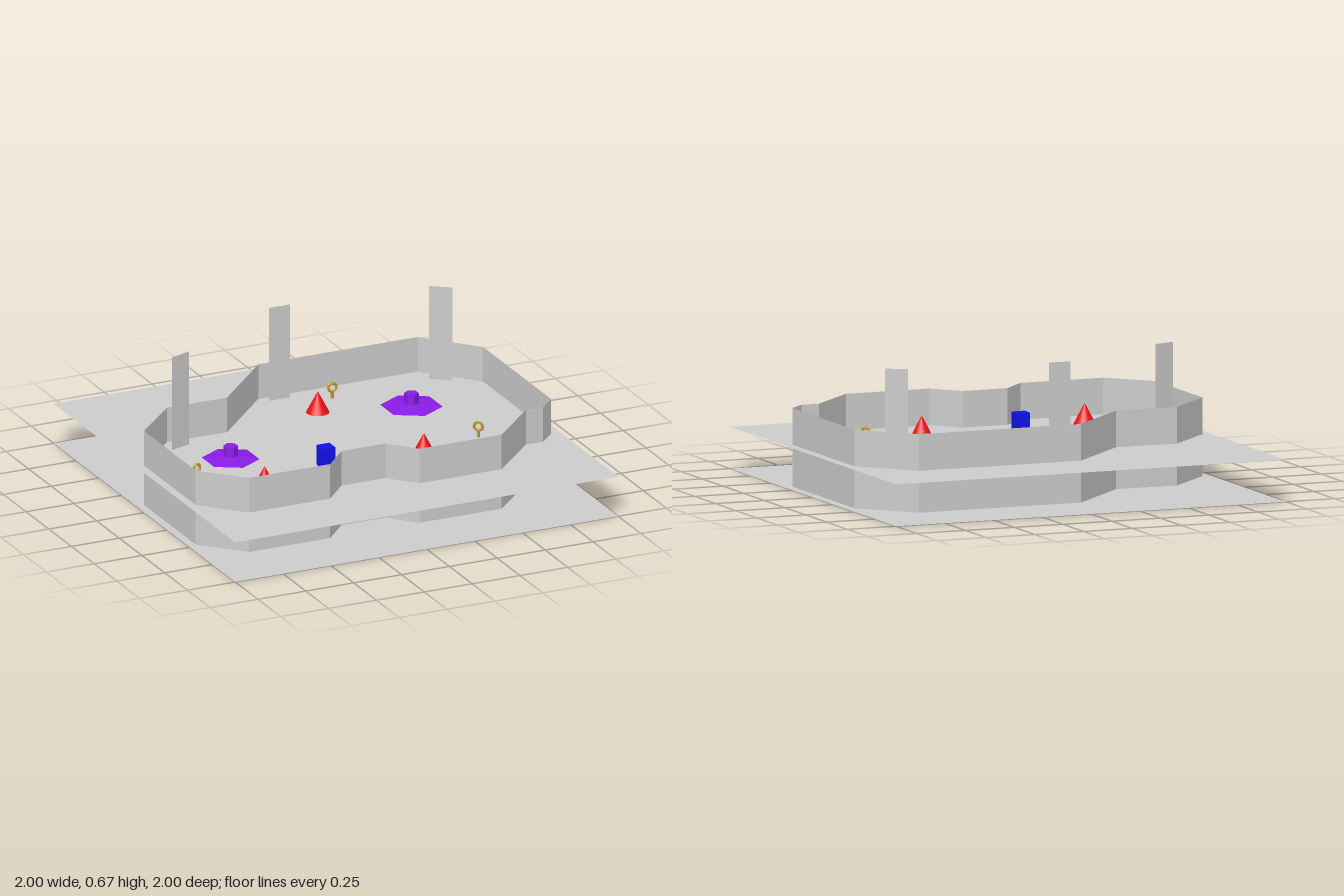
import * as THREE from 'three';

const material = (color) => new THREE.MeshStandardMaterial({ color, flatShading: true, side: THREE.DoubleSide });
const grey = material(0xcccccc);
const purple = material(0x8a1ce6);
const blue = material(0x1111ee);
const gold = material(0xc09a30);
const red = new THREE.MeshStandardMaterial({ color: 0xee1111 });

const FLOOR = 0.2;
const WALL_TOP = 0.375;

function add(parent, name, geometry, mat, x = 0, y = 0, z = 0) {
  const mesh = new THREE.Mesh(geometry, mat);
  mesh.name = name;
  mesh.position.set(x, y, z);
  parent.add(mesh);
  return mesh;
}

// Upright thin sheet between two plan points [x, z]
function sheet(parent, name, a, b, y0, y1) {
  const dx = b[0] - a[0], dz = b[1] - a[1];
  const mesh = add(parent, name, new THREE.PlaneGeometry(Math.hypot(dx, dz), y1 - y0), grey,
    (a[0] + b[0]) / 2, (y0 + y1) / 2, (a[1] + b[1]) / 2);
  mesh.rotation.y = Math.atan2(-dz, dx);
}

export function createModel() {
  const model = new THREE.Group();
  model.name = 'arena';

  // Lower ground and raised floor
  for (const [name, y] of [['ground', 0], ['floor', FLOOR]]) {
    add(model, name, new THREE.PlaneGeometry(2, 2).rotateX(-Math.PI / 2), grey, 0, y, 0);
  }

  // Closed perimeter wall, running through both levels
  const outline = [
    [-0.96, 0.48], [-0.775, 0.675], [-0.35, 0.675], [-0.23, 0.545], [0, 0.545],
    [0.115, 0.675], [0.545, 0.675], [0.785, 0.435], [0.875, 0.435], [0.955, 0.355],
    [0.955, -0.395], [0.73, -0.645], [-0.1, -0.645], [-0.42, -0.315], [-0.73, -0.32], [-0.96, -0.09],
  ];
  const wall = new THREE.Group();
  wall.name = 'perimeterWall';
  model.add(wall);
  outline.forEach((p, i) => sheet(wall, 'wallPanel', p, outline[(i + 1) % outline.length], 0, WALL_TOP));

  // Tall doors along the back
  const doors = [
    [[-0.755, -0.215], [-0.65, -0.25]],
    [[-0.065, -0.6], [0.045, -0.6]],
    [[0.74, -0.535], [0.83, -0.47]],
  ];
  for (const [a, b] of doors) sheet(model, 'door', a, b, FLOOR, 0.67);

  // Hexagonal pads with a central post
  for (const [x, z, r] of [[-0.55, 0, 0.137], [0.515, -0.255, 0.148]]) {
    const pad = new THREE.Group();
    pad.name = 'hexPad';
    pad.position.set(x, FLOOR, z);
    add(pad, 'padBase', new THREE.CylinderGeometry(0.035, r, 0.015, 6), purple, 0, 0.0075, 0);
    add(pad, 'padPost', new THREE.CylinderGeometry(0.035, 0.035, 0.065, 6), purple, 0, 0.0325, 0);
    model.add(pad);
  }

  // Red cones
  for (const [x, z] of [[0.08, -0.37], [0.3, 0.335], [-0.565, 0.405]]) {
    add(model, 'cone', new THREE.ConeGeometry(0.055, 0.105, 32), red, x, FLOOR + 0.0525, z);
  }

  // Blue crate
  add(model, 'crate', new THREE.BoxGeometry(0.066, 0.1, 0.066), blue, -0.185, FLOOR + 0.05, 0.28);

  // Small gold ring markers on stems
  for (const [x, z, turn] of [[0.22, -0.505, 0], [-0.81, 0.175, 0.38], [0.625, 0.25, -0.65]]) {
    const marker = new THREE.Group();
    marker.name = 'ringMarker';
    marker.position.set(x, FLOOR, z);
    marker.rotation.y = turn;
    add(marker, 'ring', new THREE.TorusGeometry(0.021, 0.007, 6, 10), gold, 0, 0.055, 0);
    add(marker, 'stem', new THREE.BoxGeometry(0.012, 0.034, 0.012), gold, 0, 0.017, 0);
    model.add(marker);
  }

  return model;
}
